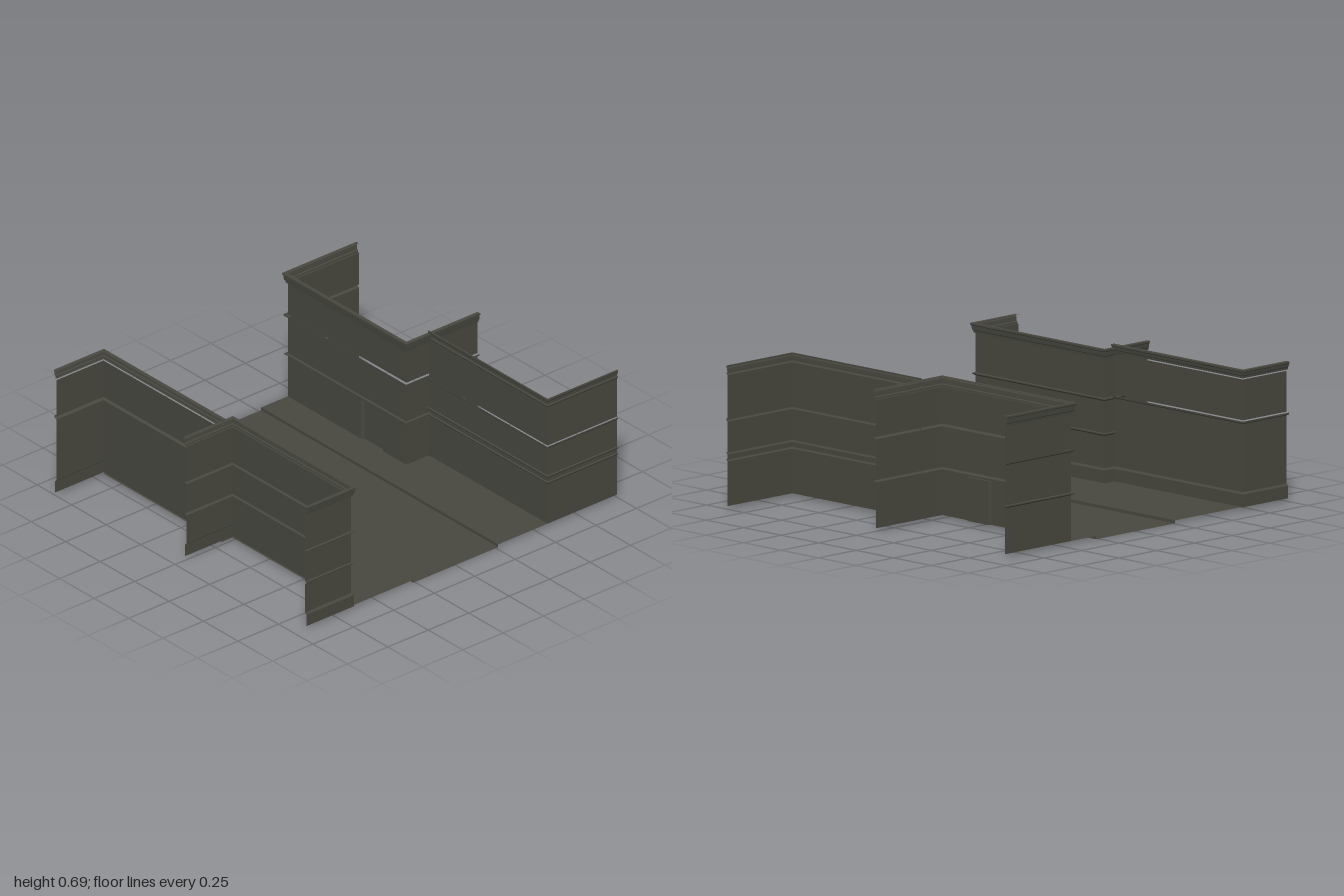
import * as THREE from 'three';

const stone = new THREE.MeshStandardMaterial({ color: 0x47473f, side: THREE.DoubleSide });
stone.name = 'dark stone';

// Sweeps a profile of [outward, y] points along a plan path of [x, z] points with mitred corners.
function sweep(path, profile) {
  const normals = path.slice(1).map(([x, z], i) => {
    const dx = x - path[i][0], dz = z - path[i][1], l = Math.hypot(dx, dz);
    return [-dz / l, dx / l];
  });
  const ring = path.map(([x, z], i) => {
    const a = normals[Math.max(i - 1, 0)], b = normals[Math.min(i, normals.length - 1)];
    const k = 1 / (1 + a[0] * b[0] + a[1] * b[1]);
    return profile.map(([o, y]) => [x + o * k * (a[0] + b[0]), y, z + o * k * (a[1] + b[1])]);
  });
  const pos = [];
  for (let i = 0; i < ring.length - 1; i++) {
    for (let j = 0; j < profile.length - 1; j++) {
      const a = ring[i][j], b = ring[i + 1][j], c = ring[i + 1][j + 1], d = ring[i][j + 1];
      pos.push(...a, ...b, ...c, ...a, ...c, ...d);
    }
  }
  const g = new THREE.BufferGeometry();
  g.setAttribute('position', new THREE.Float32BufferAttribute(pos, 3));
  g.computeVertexNormals();
  return g;
}

// Horizontal plate from plan points.
function plate(points, y) {
  const shape = new THREE.Shape(points.map(([x, z]) => new THREE.Vector2(x, -z)));
  return new THREE.ShapeGeometry(shape).rotateX(-Math.PI / 2).translate(0, y, 0);
}

function add(parent, name, geometry) {
  const mesh = new THREE.Mesh(geometry, stone);
  mesh.name = name;
  parent.add(mesh);
}

// Small string course closed against the wall.
const course = (y, out) => [[0, y - 0.008], [out * 0.6, y - 0.004], [out, y], [out, y + 0.004], [0, y + 0.006]];
// String course open along its top.
const openCourse = (y, out) => [[0, y - 0.008], [out * 0.6, y - 0.004], [out, y], [out, y + 0.008]];
// Stepped cornice between two heights.
const cornice = (y, top, out) => [
  [0, y], [out * 0.35, y], [out * 0.4, y + 0.01], [out * 0.65, y + 0.014],
  [out * 0.75, top - 0.012], [out, top - 0.008], [out, top], [0, top],
];
const base = [[0.01, 0.015], [0.01, 0.076], [0, 0.085]];

export function createModel() {
  const model = new THREE.Group();
  model.name = 'streetBlock';
  const L = -0.86, R = 0.86;

  // Sunken road with raised pavements and kerbs
  const ground = new THREE.Group();
  ground.name = 'ground';
  model.add(ground);
  add(ground, 'road', plate([[L, -0.265], [R, -0.265], [R, 0.26], [L, 0.26]], 0));
  add(ground, 'backPavement', plate([[L, -0.43], [0, -0.43], [0, -0.57], [R, -0.57], [R, -0.265], [L, -0.265]], 0.015));
  add(ground, 'frontPavement', plate([[L, 0.26], [R, 0.26], [R, 0.645], [0, 0.645], [0, 0.71], [L, 0.71]], 0.015));
  for (const z of [-0.265, 0.26]) add(ground, 'kerb', sweep([[L, z], [R, z]], [[0, 0], [0, 0.015]]));

  // Facades: plan path, plus profile runs stacked from the ground up
  const buildings = [
    {
      name: 'backLeftFacade',
      path: [[L, -0.87], [L, -0.43], [0, -0.43], [0, -0.87]],
      runs: {
        middleWall: [[0, 0.225], ...course(0.243, 0.012), [0, 0.442]],
        stringCourse: openCourse(0.45, 0.014),
        upperWall: [[0, 0.458], ...cornice(0.63, 0.68, 0.02)],
      },
    },
    {
      name: 'backRightFacade',
      path: [[0, -0.57], [R, -0.57], [R, -1]],
      runs: {
        lowerWall: [[0, 0.015], ...course(0.237, 0.007), ...course(0.27, 0.007), [0, 0.42]],
        stringCourse: openCourse(0.428, 0.008),
        upperWall: [[0, 0.437], ...course(0.652, 0.007), ...cornice(0.665, 0.69, 0.007)],
      },
    },
    {
      name: 'frontRightFacade',
      path: [[R, 0.93], [R, 0.645], [0, 0.645], [0, 0.93]],
      runs: {
        wall: [...base, ...course(0.247, 0.01), ...course(0.415, 0.011), ...cornice(0.612, 0.658, 0.018)],
      },
    },
    {
      name: 'frontLeftFacade',
      path: [[0, 0.71], [L, 0.71], [L, 1]],
      runs: {
        lowerWall: [...base, [0, 0.412]],
        stringCourse: openCourse(0.42, 0.016),
        upperWall: [[0, 0.43], [0, 0.626]],
        cornice: cornice(0.634, 0.674, 0.02),
      },
    },
  ];
  for (const { name, path, runs } of buildings) {
    const facade = new THREE.Group();
    facade.name = name;
    model.add(facade);
    for (const [part, profile] of Object.entries(runs)) add(facade, part, sweep(path, profile));
  }

  // Ground storey of the back left facade, with its recessed doorway
  const niche = [[-0.33, -0.43], [-0.32, -0.443], [-0.18, -0.443], [-0.17, -0.43]];
  const doorway = model.getObjectByName('backLeftFacade');
  add(doorway, 'lowerWallWithDoor', sweep(
    [[L, -0.87], [L, -0.43], ...niche, [0, -0.43], [0, -0.87]], [[0, 0.015], [0, 0.225]]));
  add(doorway, 'doorHead', plate(niche, 0.225));
  add(doorway, 'doorSill', plate(niche, 0.015));

  return model;
}
